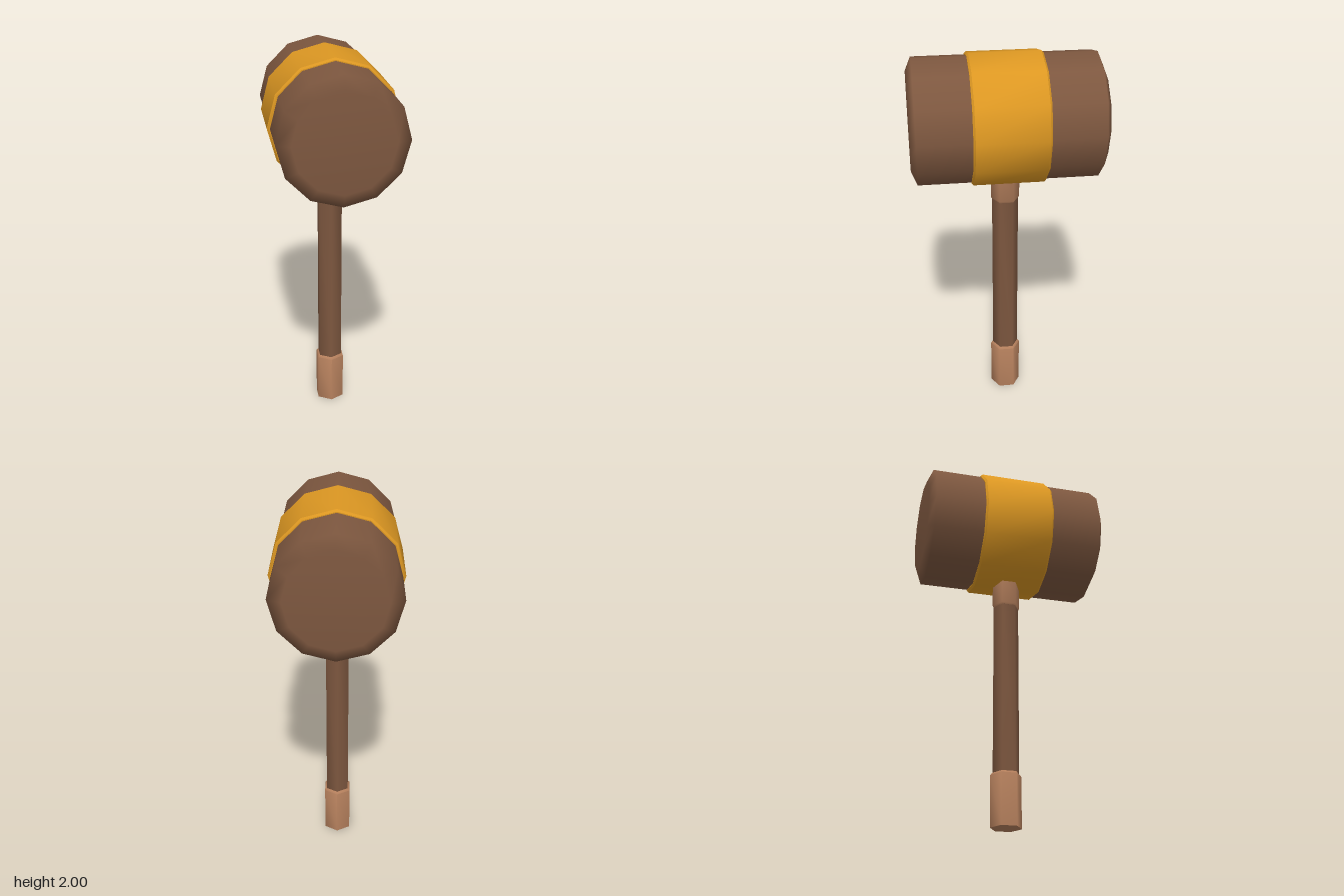
import * as THREE from 'three';
import { toCreasedNormals } from 'three/addons/utils/BufferGeometryUtils.js';

const HEAD_Y = 1.665;

function material(name, color) {
  const m = new THREE.MeshStandardMaterial({ color });
  m.name = name;
  return m;
}

// Turned solid: profile is a list of [radius, height] pairs, bottom to top
function turned(profile, sides) {
  return new THREE.LatheGeometry(profile.map(([r, y]) => new THREE.Vector2(r, y)), sides);
}

export function createModel() {
  const model = new THREE.Group();
  model.name = 'mallet';

  const darkWood = material('dark wood', 0x7d573f);
  const lightWood = material('light wood', 0xb47f5c);
  const gold = material('gold', 0xdc9722);

  const add = (name, geometry, mat) => {
    const mesh = new THREE.Mesh(geometry, mat);
    mesh.name = name;
    model.add(mesh);
    return mesh;
  };

  // Twelve-sided barrel head with softly bevelled striking faces
  const head = add('head', turned([
    [0, -0.485], [0.25, -0.485], [0.32, -0.455],
    [0.32, 0.455], [0.25, 0.485], [0, 0.485],
  ], 12), darkWood);

  // Metal band around the middle of the head
  const band = add('band', toCreasedNormals(turned([
    [0.315, -0.188], [0.325, -0.188], [0.335, -0.178],
    [0.335, 0.178], [0.325, 0.188], [0.315, 0.188],
  ], 12), 0.7), gold);

  for (const part of [head, band]) {
    part.rotation.x = Math.PI / 2;
    part.position.y = HEAD_Y;
  }

  // Six-sided handle with a grip at the foot and a collar under the head
  const sixSided = (profile) => toCreasedNormals(turned(profile, 6), 1.1);

  add('handle', sixSided([[0.069, 0.2], [0.069, 1.3]]), darkWood);
  add('grip', sixSided([
    [0, 0], [0.081, 0], [0.081, 0.265], [0.072, 0.276], [0, 0.276],
  ]), lightWood);
  add('collar', sixSided([
    [0, 1.208], [0.07, 1.208], [0.075, 1.218], [0.075, 1.42], [0, 1.42],
  ]), lightWood);

  return model;
}
